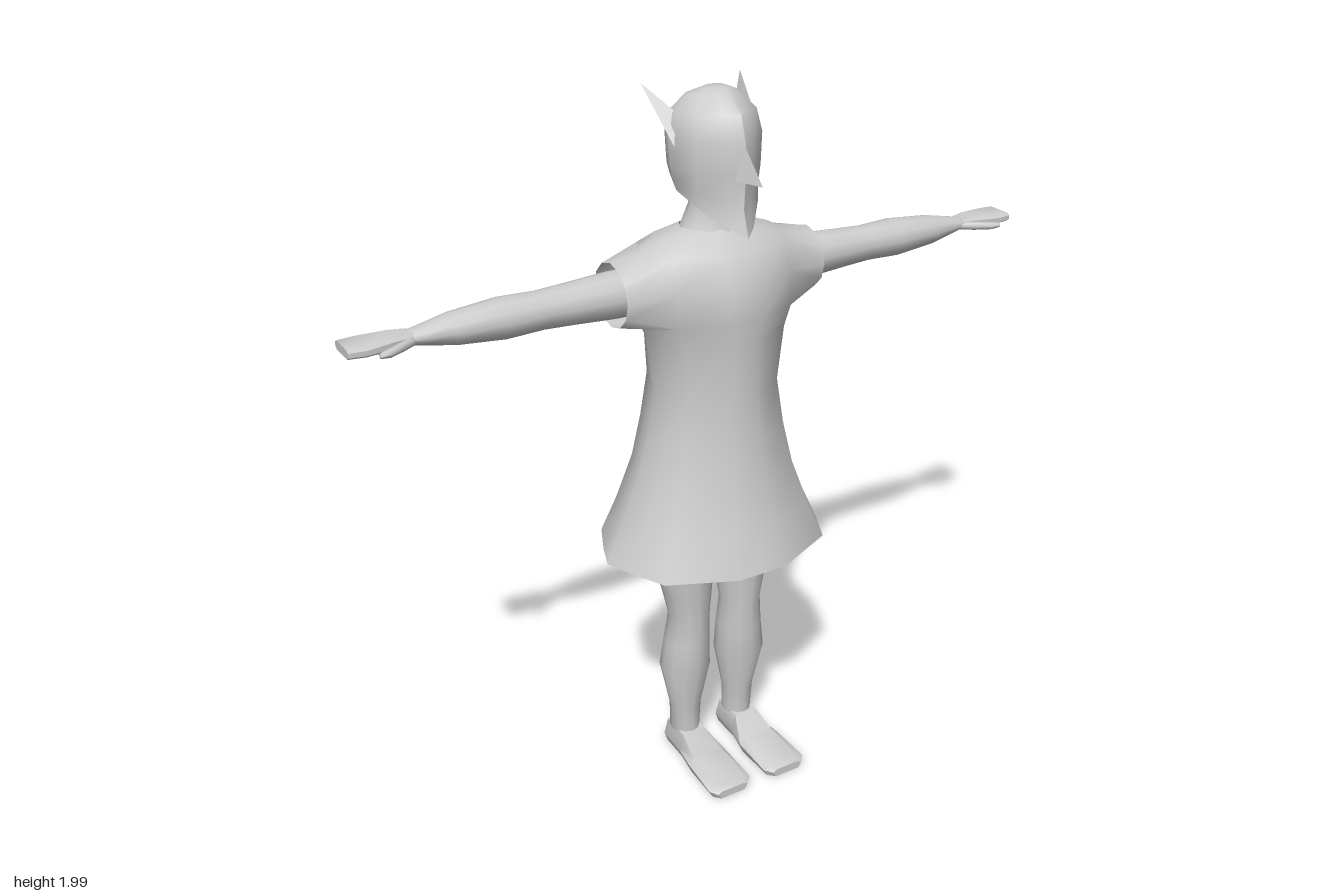
import * as THREE from 'three';
import { toCreasedNormals } from 'three/addons/utils/BufferGeometryUtils.js';

const material = new THREE.MeshStandardMaterial({ color: 0xcccccc });
const clothMaterial = new THREE.MeshStandardMaterial({ color: 0xcccccc, side: THREE.DoubleSide });

// Mesh from points and triangles; mirror reflects it across x = 0
function surface(name, points, index, { mirror = false, crease = 0.9, mat = material } = {}) {
  const pos = points.flatMap(([x, y, z]) => [mirror ? -x : x, y, z]);
  const idx = mirror ? index.slice().reverse() : index;
  const g = new THREE.BufferGeometry();
  g.setAttribute('position', new THREE.Float32BufferAttribute(pos, 3));
  g.setIndex(idx);
  const mesh = new THREE.Mesh(toCreasedNormals(g, crease), mat);
  mesh.name = name;
  return mesh;
}

// Skin a list of rings (counterclockwise about their direction of travel)
function loft(name, rings, opts = {}) {
  const { capStart = true, capEnd = true } = opts;
  const n = rings[0].length, points = rings.flat(), index = [];
  for (let i = 0; i < rings.length - 1; i++)
    for (let j = 0; j < n; j++) {
      const a = i * n + j, b = i * n + (j + 1) % n;
      index.push(a, b, b + n, a, b + n, a + n);
    }
  const cap = (start, flip) => {
    const c = [0, 1, 2].map(k => points.slice(start, start + n).reduce((s, p) => s + p[k], 0) / n);
    points.push(c);
    for (let j = 0; j < n; j++) {
      const a = start + j, b = start + (j + 1) % n;
      index.push(points.length - 1, flip ? b : a, flip ? a : b);
    }
  };
  if (capStart) cap(0, true);
  if (capEnd) cap((rings.length - 1) * n, false);
  return surface(name, points, index, opts);
}

// n unit-circle pairs
const circle = (n, phase = 0) => Array.from({ length: n }, (_, i) => {
  const a = (i + phase) / n * Math.PI * 2;
  return [Math.cos(a), Math.sin(a)];
});

// Horizontal oval: x0..x1 wide, zb..zf deep
const ovalY = (y, x0, x1, zf, zb, n = 12) => circle(n).map(([c, s]) =>
  [(x0 + x1) / 2 + c * (x1 - x0) / 2, y, (zf + zb) / 2 - s * (zf - zb) / 2]);

// Oval facing along x
const ovalX = (x, y, z, ry, rz, n = 12) => circle(n).map(([c, s]) => [x, y + c * ry, z + s * rz]);

// Bevelled rectangle facing along x
const slabX = (x, y, z, ry, rz) => [[1, -.8], [1, .8], [.5, 1], [-.5, 1], [-1, .8], [-1, -.8], [-.5, -1], [.5, -1]]
  .map(([a, b]) => [x, y + a * ry, z + b * rz]);

// Hollow tunic with armholes running into short open sleeves
function tunic() {
  const quarter = [[1, 0], [.91, .3], [.77, .68], [.22, 1], [0, 1]];
  const outline = [
    ...quarter.map(([x, z]) => [x, -z]),
    ...quarter.slice(0, 4).reverse().map(([x, z]) => [-x, -z]),
    ...quarter.slice(1).map(([x, z]) => [-x, z]),
    ...quarter.slice(1, 4).reverse().map(([x, z]) => [x, z]),
  ];
  // y, half width, front depth, back depth
  const rows = [
    [.71, .337, .265, .268], [.82, .285, .228, .232], [.95, .232, .195, .2], [1.07, .2, .178, .187],
    [1.2, .178, .165, .17], [1.35, .2, .17, .145], [1.405, .225, .172, .152],
    [1.5, .22, .174, .166], [1.58, .22, .13, .138], [1.607, .17, .1, .105], [1.632, .095, .075, .062],
  ];
  const n = 16, hole = 6, points = [], index = [];
  for (const [y, w, zf, zb] of rows)
    for (const [x, z] of outline) points.push([x * w, y, z * (z > 0 ? zf : zb)]);
  for (let i = 0; i < rows.length - 1; i++)
    for (let j = 0; j < n; j++) {
      const armhole = (i === hole || i === hole + 1) && [14, 15, 0, 1, 6, 7, 8, 9].includes(j);
      if (armhole) continue;
      const a = i * n + j, b = i * n + (j + 1) % n;
      index.push(a, b, b + n, a, b + n, a + n);
    }
  // sleeves: armhole edge as [row, column], joined to a round cuff
  const edge = [[2, 0], [2, -1], [2, -2], [1, -2], [0, -2], [0, -1], [0, 0], [0, 1], [0, 2], [1, 2], [2, 2], [2, 1]];
  for (const s of [1, -1]) {
    const inner = edge.map(([r, c]) => (hole + r) * n + ((s > 0 ? c : 8 - c) + n) % n);
    const first = points.length;
    for (const [, y, z] of ovalX(0, 1.486, 0, .086, .088)) points.push([s * .3, y, z]);
    for (let k = 0; k < 12; k++) {
      const m = (k + 1) % 12, a = inner[k], b = inner[m], c = first + m, d = first + k;
      index.push(...(s > 0 ? [a, b, c, a, c, d] : [a, c, b, a, d, c]));
    }
  }
  return surface('tunic', points, index, { mat: clothMaterial, crease: 1 });
}

// Head with a sloping jaw and pointed chin
function head() {
  const half = [[.3, .86], [.8, .5], [1, 0], [.85, -.55], [.4, -.9]];
  const plan = [[0, 1], ...half, [0, -1], ...half.slice().reverse().map(([x, z]) => [-x, z])].reverse();
  // front y, back y, half width, front depth, back depth
  const rows = [
    [1.63, 1.74, .105, .173, .078], [1.7, 1.765, .113, .152, .09], [1.785, 1.79, .12, .158, .096],
    [1.87, 1.87, .125, .157, .098], [1.935, 1.92, .112, .135, .092], [1.972, 1.965, .07, .075, .05],
  ];
  const rings = rows.map(([yf, yb, w, zf, zb]) => plan.map(([x, z]) => {
    const Z = z * (z > 0 ? zf : zb), t = (Z + zb) / (zf + zb);
    return [x * w, yb + (yf - yb) * t * t, Z];
  }));
  rings.push(plan.map(([x, z]) => [x * .03, 1.983, .02 + z * .03]));
  // plan runs clockwise from the chin when reversed, so turn it to face outward
  return loft('head', rings.map(r => r.slice().reverse()), { crease: .8 });
}

// Leg from hip to ankle: y, inner x, outer x, front z, back z
function leg(mirror) {
  const rows = [
    [.07, .05, .132, .042, -.06], [.16, .045, .138, .042, -.05], [.3, .02, .167, .075, -.077],
    [.39, .024, .155, .075, -.068], [.48, .028, .145, .078, -.052], [.56, .018, .162, .082, -.065],
    [.66, .007, .188, .09, -.09], [.75, .004, .198, .095, -.1], [.95, .004, .19, .1, -.1],
  ];
  return loft('leg', rows.map(r => ovalY(...r)), { mirror });
}

// Foot: z, inner x, outer x, top height
function foot(mirror) {
  const rows = [[-.068, .06, .122, .05], [-.05, .045, .138, .078], [.045, .042, .142, .078],
    [.12, .025, .155, .045], [.25, .025, .162, .03], [.27, .045, .145, .024]];
  const rings = rows.map(([z, a, b, h]) => {
    const m = Math.min(.03, h * .7), i = (b - a) * .14;
    return [[b - .01, 0], [b, m], [b - i, h], [a + i, h], [a, m], [a + .01, 0]].map(([x, y]) => [x, y, z]);
  });
  return loft('foot', rings, { mirror, crease: .7 });
}

// Arm, flat hand and thumb
function arm(mirror) {
  const g = new THREE.Group();
  g.name = mirror ? 'rightArm' : 'leftArm';
  const rows = [[.22, .062, .062], [.3, .062, .061], [.42, .054, .054], [.5, .05, .05], [.6, .053, .056],
    [.73, .041, .046], [.8, .026, .034], [.85, .015, .027]];
  g.add(loft('forearm', rows.map(([x, ry, rz]) => ovalX(x, 1.486, -.003, ry, rz)), { mirror, capStart: false }));
  const palm = [[.835, -.002, .015, .026], [.88, -.008, .015, .036], [.955, -.006, .013, .05], [1, -.008, .012, .045]];
  g.add(loft('hand', palm.map(([x, z, ry, rz]) => slabX(x, 1.487, z, ry, rz)), { mirror, crease: .6 }));
  const thumb = [[.825, .01, .011, .014], [.87, .038, .012, .013], [.91, .06, .011, .013], [.935, .066, .007, .006]];
  g.add(loft('thumb', thumb.map(([x, z, ry, rz]) => ovalX(x, 1.483, z, ry, rz, 8)), { mirror }));
  return g;
}

export function createModel() {
  const model = new THREE.Group();
  model.name = 'figure';
  model.add(tunic(), head());
  model.add(loft('neck', [
    ovalY(1.595, -.115, .115, .1, -.085), ovalY(1.632, -.092, .092, .078, -.062),
    ovalY(1.685, -.07, .07, .075, -.05), ovalY(1.76, -.065, .065, .07, -.05)]));

  // Beak-like nose
  model.add(surface('nose',
    [[0, 1.865, .15], [.026, 1.776, .135], [-.026, 1.776, .135], [0, 1.778, .235]],
    [0, 3, 1, 0, 2, 3, 1, 3, 2], { crease: .3 }));

  for (const mirror of [false, true]) {
    model.add(arm(mirror), leg(mirror), foot(mirror));
    // Swept-back pointed ear
    model.add(surface('ear',
      [[.128, 1.85, .032], [.1, 1.925, -.008], [.09, 1.87, -.05], [.147, 1.985, -.1]],
      [0, 3, 1, 1, 3, 2, 2, 3, 0, 0, 1, 2], { mirror, crease: .3, mat: clothMaterial }));
  }
  return model;
}
